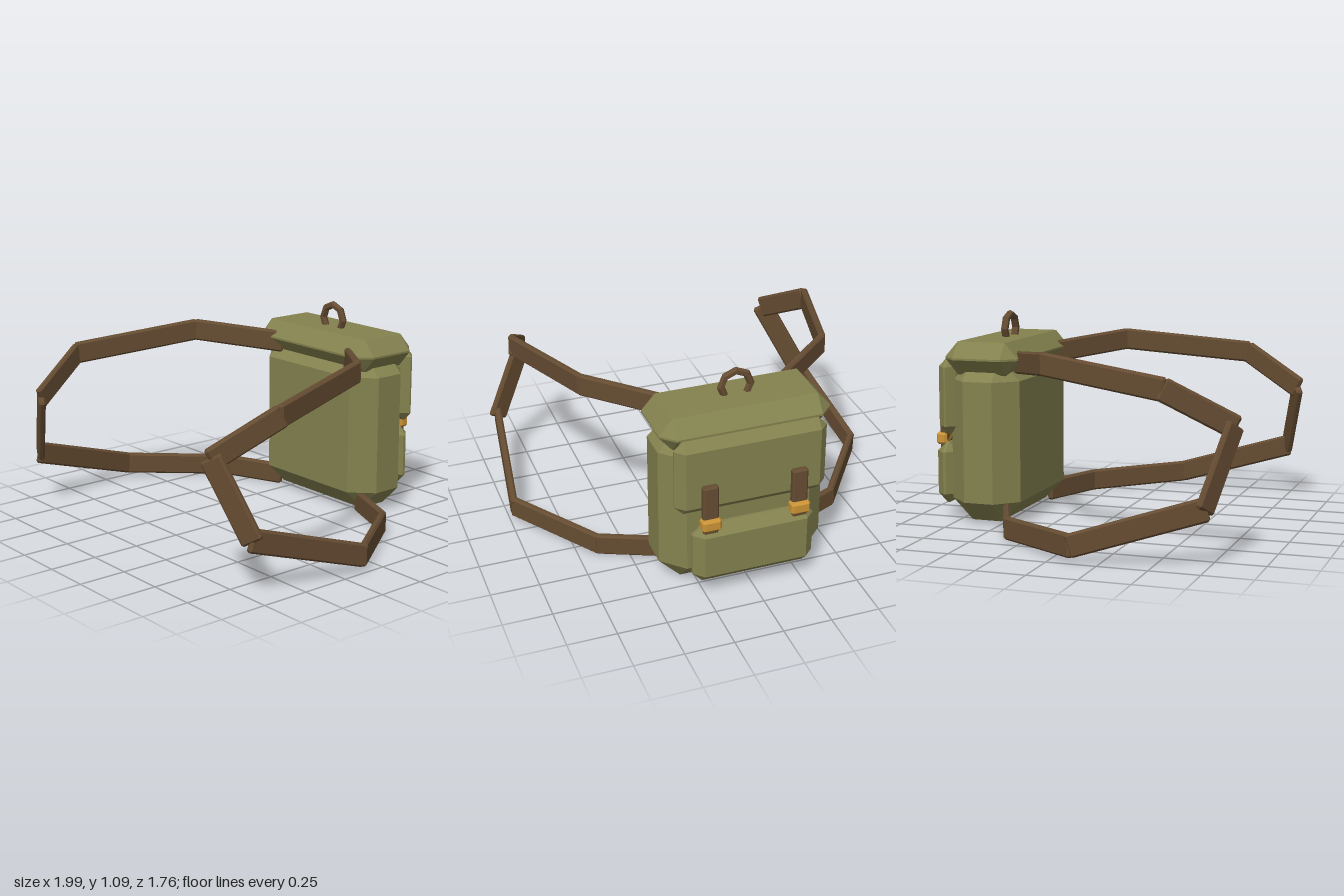
import * as THREE from 'three';
import { ConvexGeometry } from 'three/addons/geometries/ConvexGeometry.js';

const mat = (color) => new THREE.MeshStandardMaterial({ color, flatShading: true });

// Box with every edge and corner cut; c is the cut along x, y and z
function chamferBox(w, h, d, cx, cy = cx, cz = cx) {
  const pts = [];
  for (const x of [-1, 1]) for (const y of [-1, 1]) for (const z of [-1, 1]) {
    const X = w / 2, Y = h / 2, Z = d / 2;
    for (const [a, b, e] of [[X, Y - cy, Z - cz], [X - cx, Y, Z - cz], [X - cx, Y - cy, Z]]) {
      pts.push(new THREE.Vector3(x * a, y * b, z * e));
    }
  }
  return new ConvexGeometry(pts);
}

export function createModel() {
  const group = new THREE.Group();
  const canvas = mat(0x84824f), leather = mat(0x654c32), brass = mat(0xcc9436);

  const add = (name, geometry, material, x, y, z, parent = group) => {
    const mesh = new THREE.Mesh(geometry, material);
    mesh.name = name;
    mesh.position.set(x, y, z);
    parent.add(mesh);
    return mesh;
  };

  // Bag
  add('body', chamferBox(0.86, 0.85, 0.38, 0.11), canvas, 0, 0.445, -0.59);
  add('lid', chamferBox(0.88, 0.17, 0.4, 0.07, 0.08, 0.07), canvas, 0, 0.875, -0.59);
  add('backFlap', chamferBox(0.78, 0.4, 0.1, 0.045), canvas, 0, 0.67, -0.79);
  add('pocket', chamferBox(0.63, 0.325, 0.115, 0.05), canvas, 0, 0.253, -0.833);

  // Carry handle, its lower half sunk in the lid
  const ring = new THREE.TorusGeometry(0.077, 0.02, 6, 8);
  add('handle', ring, leather, 0, 1, -0.58);

  // Closing straps and buckles
  for (const s of [-1, 1]) {
    add('closingStrap', chamferBox(0.08, 0.27, 0.04, 0.008), leather, s * 0.23, 0.505, -0.855);
    add('buckle', chamferBox(0.1, 0.065, 0.06, 0.012), brass, s * 0.23, 0.432, -0.865);
  }

  // Shoulder straps: flat straight pieces along an open loop
  const path = [
    [0.26, 0.85, -0.44], [0.65, 0.895, -0.14], [0.84, 0.825, 0.52], [0.72, 0.65, 0.83],
    [0.9, 0.29, 0.74], [0.975, 0.09, 0.11], [0.65, 0.07, -0.34], [0.32, 0.067, -0.48],
  ];
  for (const s of [-1, 1]) {
    const strap = new THREE.Group();
    strap.name = s > 0 ? 'leftShoulderStrap' : 'rightShoulderStrap';
    group.add(strap);
    const points = path.map(([x, y, z]) => new THREE.Vector3(s * x, y, z));
    for (let i = 0; i < points.length - 1; i++) {
      const a = points[i], b = points[i + 1];
      const mid = a.clone().add(b).multiplyScalar(0.5);
      const geometry = chamferBox(0.036, 0.115, a.distanceTo(b) + 0.02, 0.01);
      add('strapPiece', geometry, leather, mid.x, mid.y, mid.z, strap).lookAt(b);
    }
  }
  return group;
}
